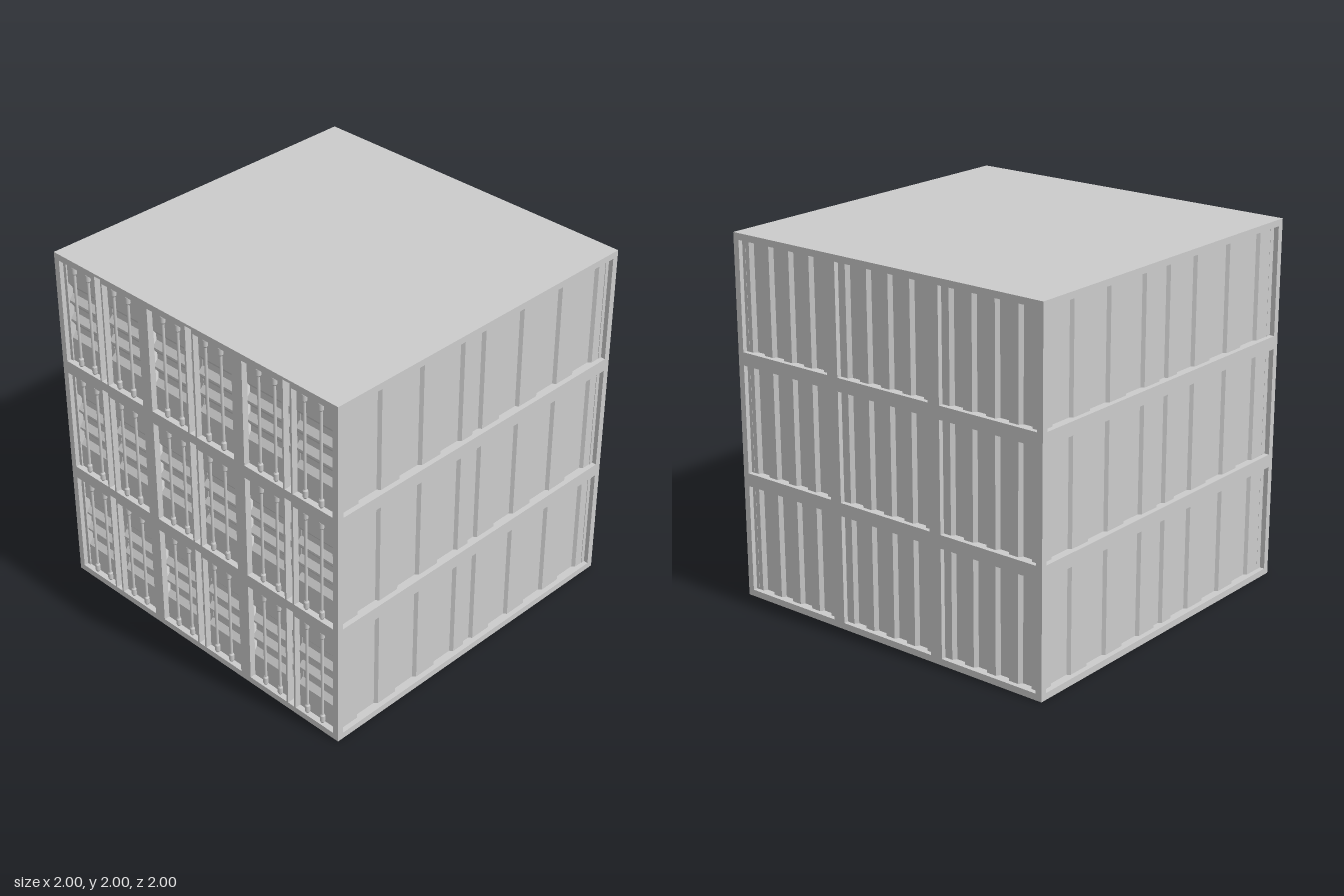
import * as THREE from 'three';

const S = 2 / 3;        // pitch of one container
const RIM = 0.036;      // half width of the frame rails
const SKIN = 0.035;     // thickness of the front and back frames
const material = new THREE.MeshStandardMaterial({ color: 0xcccccc });
const V = (x, y, z) => new THREE.Vector3(x, y, z);

function add(parent, name, geometry, x = 0, y = 0, z = 0) {
  const mesh = new THREE.Mesh(geometry, material);
  mesh.name = name;
  mesh.position.set(x, y, z);
  parent.add(mesh);
  return mesh;
}

const rect = (x0, y0, x1, y1, Type = THREE.Shape) =>
  new Type([[x0, y0], [x1, y0], [x1, y1], [x0, y1]].map(([x, y]) => new THREE.Vector2(x, y)));

// Flat plate with rectangular openings
function plate(outer, holes, depth) {
  const shape = rect(...outer);
  shape.holes = holes.map(h => rect(...h, THREE.Path));
  return new THREE.ExtrudeGeometry(shape, { depth, bevelEnabled: false });
}

// Trapezoid profile that toggles between two depths at each position in steps
function corrugation(u0, u1, steps, slope, high, low) {
  const pts = [[u0, high]];
  steps.forEach((u, i) => {
    const [a, b] = i % 2 ? [low, high] : [high, low];
    pts.push([u - slope / 2, a], [u + slope / 2, b]);
  });
  pts.push([u1, high]);
  return pts;
}

// Sheet with the given profile: u runs across, out is the outward axis
function sheet(profile, length, u, out) {
  const back = Math.max(...profile.map(p => p[1])) + 0.01;
  const pts = [[profile[0][0], back], [profile.at(-1)[0], back], ...[...profile].reverse()];
  const shape = new THREE.Shape(pts.map(([a, d]) => new THREE.Vector2(a, -d)));
  const geometry = new THREE.ExtrudeGeometry(shape, { depth: length, bevelEnabled: false });
  geometry.translate(0, 0, -length / 2);
  return geometry.applyMatrix4(new THREE.Matrix4().makeBasis(u, out, u.clone().cross(out)));
}

export function createModel() {
  const model = new THREE.Group();
  model.name = 'containerStack';
  const cells = [0, 1, 2];
  const centre = i => (i - 1) * S;

  // Front and back frames with their openings
  const doorHoles = [], slotHoles = [], backHoles = [];
  for (const i of cells) for (const k of cells) {
    const x = centre(i), y = k * S;
    for (const s of [-1, 1]) {
      const a = x + s * 0.033, b = x + s * 0.298;
      doorHoles.push([Math.min(a, b), y + RIM, Math.max(a, b), y + S - RIM]);
    }
    slotHoles.push([x - 0.022, y + RIM, x + 0.022, y + 0.652]);
    backHoles.push([x - 0.298, y + RIM, x + 0.298, y + S - RIM]);
  }
  const face = [-1, 0, 1, 2];
  add(model, 'frontFrame', plate(face, [...doorHoles, ...slotHoles], SKIN), 0, 0, 1 - SKIN);
  add(model, 'backFrame', plate(face, backHoles, SKIN), 0, 0, -1);

  // Floors, with small drain openings in the lowest one, and the roof
  const inner = 1 - SKIN;
  const drains = cells.map(i => [centre(i) - 0.025, -0.96, centre(i) + 0.025, -0.91]);
  const base = plate([-1, -inner, 1, inner], drains, RIM).rotateX(-Math.PI / 2);
  add(model, 'baseFloor', base);
  for (const k of [1, 2, 3]) {
    const y0 = k * S - RIM, y1 = Math.min(k * S + RIM, 2);
    add(model, 'deck', new THREE.BoxGeometry(2, y1 - y0, inner * 2), 0, (y0 + y1) / 2, 0);
  }

  // Corrugated long sides, mirrored
  const sideSteps = [-0.885, -0.74, -0.6, -0.455, -0.31, -0.17, -0.03,
    0.03, 0.12, 0.26, 0.405, 0.55, 0.69, 0.83];
  const side = corrugation(-0.975, 0.975, sideSteps, 0.013, 0.028, 0.045);
  const mirrored = side.map(([u, d]) => [-u, d]).reverse();
  const sideGeos = [
    ['leftSide', sheet(side, S - 0.05, V(0, 0, 1), V(1, 0, 0)), 1],
    ['rightSide', sheet(mirrored, S - 0.05, V(0, 0, -1), V(-1, 0, 0)), -1],
  ];
  for (const k of cells) {
    for (const [name, geometry, x] of sideGeos) add(model, name, geometry, x, (k + 0.5) * S, 0);
  }

  // Shared parts of the container ends
  const backSteps = [-3.5, -2.5, -1.5, -0.5, 0.5, 1.5, 2.5, 3.5].map(n => n * 0.07);
  const backWall = sheet(corrugation(-0.308, 0.308, backSteps, 0.014, 0.026, 0.048),
    S - 0.05, V(1, 0, 0), V(0, 0, -1));
  const doorSteps = [0.19, 0.258, 0.302, 0.368, 0.412, 0.48];
  const doorGeo = sheet(corrugation(0.025, S - 0.025, doorSteps, 0.032, 0.033, 0.058),
    0.28, V(0, 1, 0), V(0, 0, 1));
  const rodGeo = new THREE.CylinderGeometry(0.008, 0.008, S - 2 * RIM, 10);
  const clampGeo = new THREE.CylinderGeometry(0.014, 0.014, 0.034, 8);
  const clampEnd = new THREE.CylinderGeometry(0.009, 0.014, 0.008, 8);
  const postGeo = new THREE.BoxGeometry(0.064, S - 0.01, 0.045);

  // Doors, locking rods and back wall of every container
  for (const i of cells) for (const k of cells) {
    const box = new THREE.Group();
    box.name = 'containerEnds';
    box.position.set(centre(i), k * S, 0);
    model.add(box);
    add(box, 'backWall', backWall, 0, S / 2, -1);
    add(box, 'doorPost', postGeo, 0, S / 2 + 0.005, 0.922);
    for (const s of [-1, 1]) {
      add(box, 'door', doorGeo, s * 0.166, 0, 1);
      for (const offset of [0.098, 0.205]) {
        const rod = new THREE.Group();
        rod.name = 'lockingRod';
        rod.position.set(s * offset, S / 2, 0.98);
        box.add(rod);
        add(rod, 'rod', rodGeo);
        for (const e of [-1, 1]) {
          add(rod, 'clamp', clampGeo, 0, e * 0.27, 0);
          add(rod, 'clampTop', clampEnd, 0, e * 0.27 + 0.021, 0);
          add(rod, 'clampBottom', clampEnd, 0, e * 0.27 - 0.021, 0).rotation.x = Math.PI;
        }
      }
    }
  }
  return model;
}
